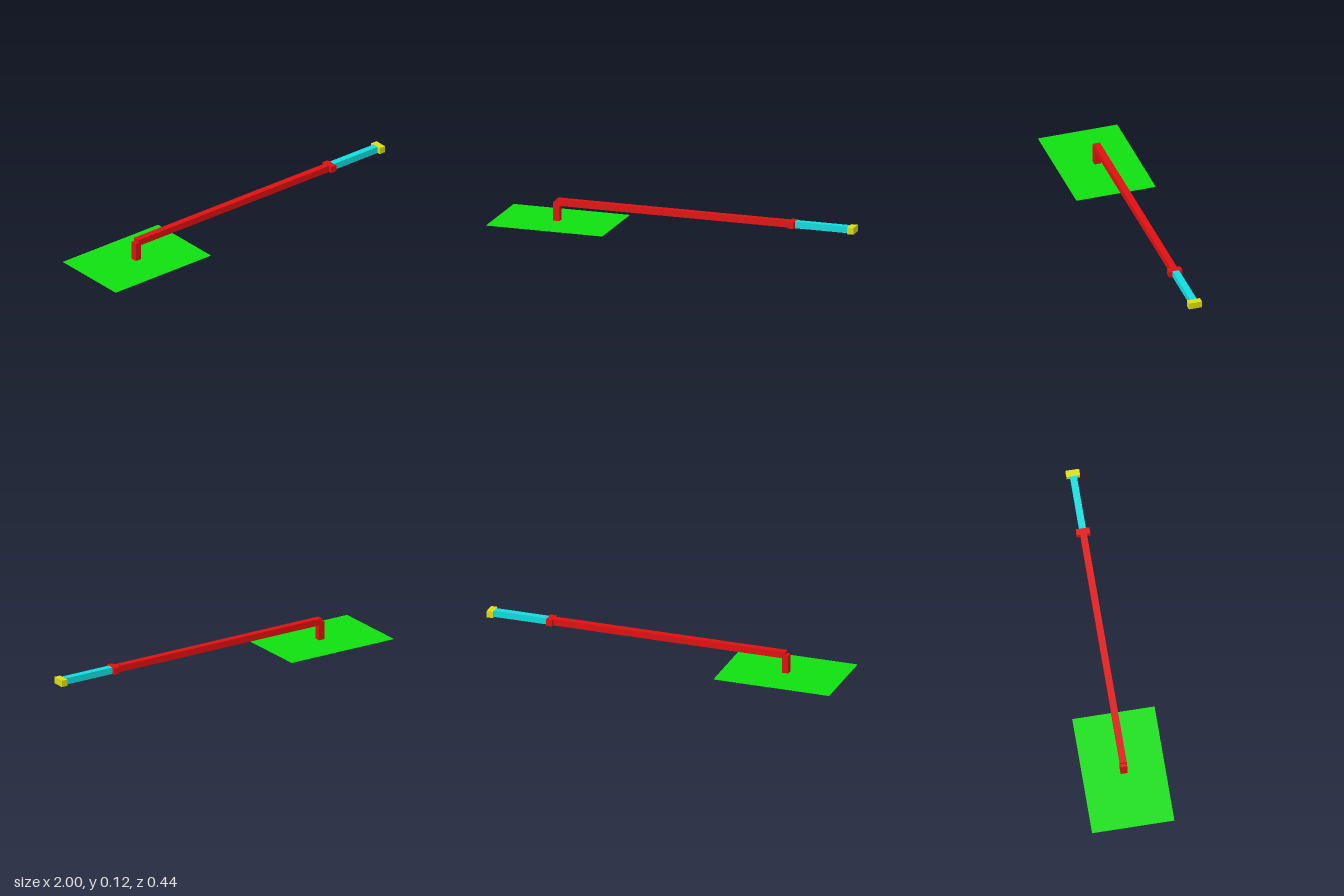
import * as THREE from 'three';

export function createModel() {
  const model = new THREE.Group();
  const paint = (color) => new THREE.MeshStandardMaterial({ color });
  const red = paint(0xe01010), green = paint(0x10e010), cyan = paint(0x10dde0), yellow = paint(0xdddd10);

  // Box given by its x and y extents and its full depth, centred on z = 0
  function addBox(name, material, x0, x1, y0, y1, depth) {
    const mesh = new THREE.Mesh(new THREE.BoxGeometry(x1 - x0, y1 - y0, depth), material);
    mesh.name = name;
    mesh.position.set((x0 + x1) / 2, (y0 + y1) / 2, 0);
    model.add(mesh);
  }

  const low = 0.086, high = 0.122, mid = (low + high) / 2; // arm height range
  const thick = 0.036, wide = 0.073;

  // Ground plate and upright
  addBox('basePlate', green, -1, -0.347, 0, 0.002, 0.443);
  addBox('post', red, -0.695, -0.659, 0.002, mid, thick);

  // Arm starts over the middle of the post and ends in a wider collar
  addBox('arm', red, -0.677, 0.63, low, high, thick);
  addBox('collar', red, 0.63, 0.665, low, high, wide);

  // Extension and its end block
  addBox('extension', cyan, 0.665, 0.964, low, high, thick);
  addBox('endBlock', yellow, 0.964, 1, low, high, wide);

  return model;
}
